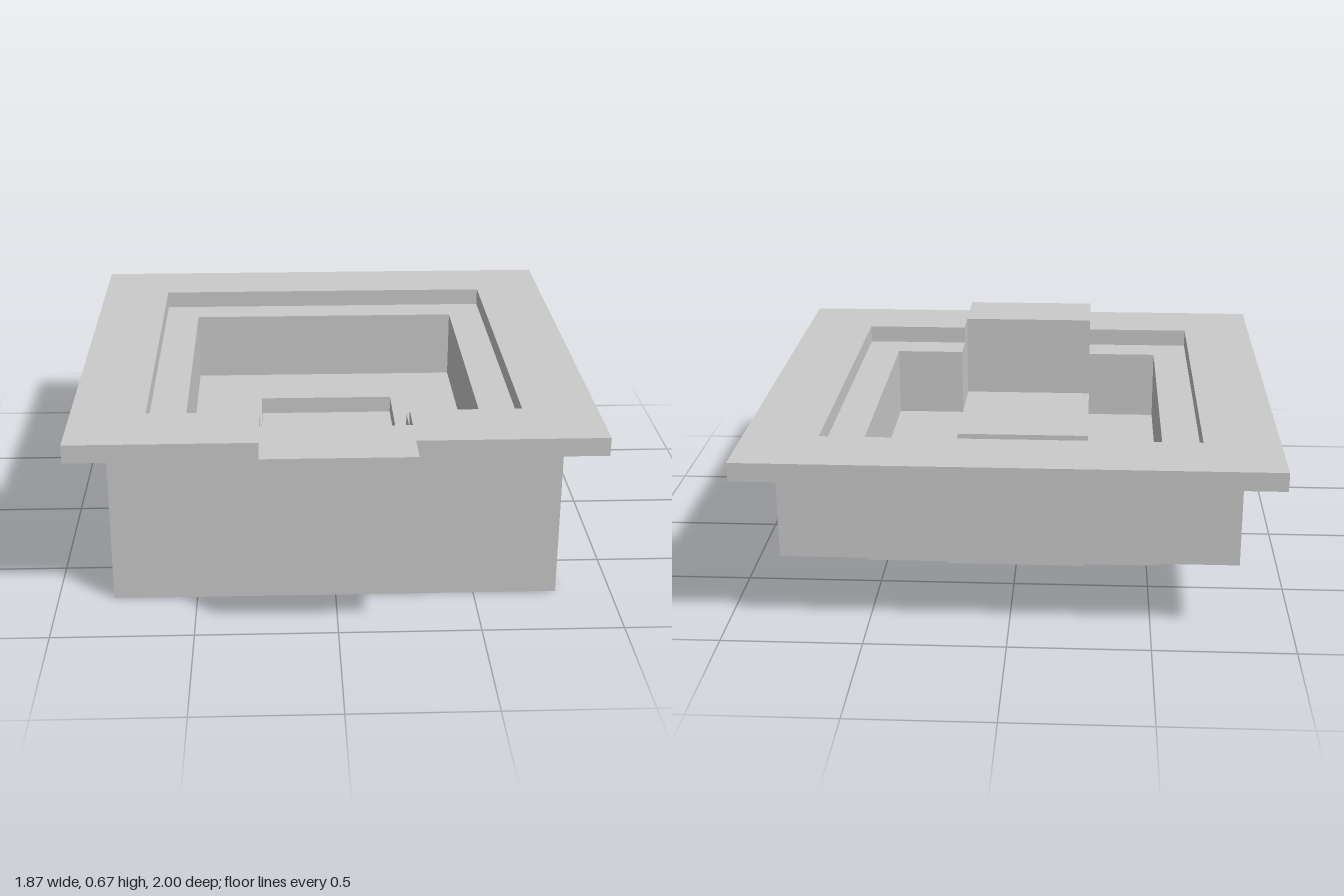
import * as THREE from 'three';

const U = 1 / 15; // grid module: the model is 30 modules long
const GAP = 4;    // half width of the front channel

export function createModel() {
  const group = new THREE.Group();
  const material = new THREE.MeshStandardMaterial({ color: 0xcccccc, flatShading: true });

  const toPoints = (list) => list.map(([x, z]) => new THREE.Vector2(x * U, -z * U));
  const rect = (hw, back, front) => [[-hw, front], [hw, front], [hw, back], [-hw, back]];

  // Horizontal slab from a plan outline (x, z) between two heights
  function slab(name, outline, y0, y1, hole) {
    const shape = new THREE.Shape(toPoints(outline));
    if (hole) shape.holes.push(new THREE.Path(toPoints(hole)));
    const geometry = new THREE.ExtrudeGeometry(shape, { depth: (y1 - y0) * U, bevelEnabled: false });
    geometry.rotateX(-Math.PI / 2);
    geometry.translate(0, y0 * U, 0);
    const mesh = new THREE.Mesh(geometry, material);
    mesh.name = name;
    group.add(mesh);
  }

  // Rectangular frame interrupted at the front by the channel
  function openFrame([hw, back, front], [ihw, iback, ifront]) {
    const right = [[hw, back], [hw, front], [GAP, front], [GAP, ifront], [ihw, ifront], [ihw, iback]];
    const left = right.map(([x, z]) => [-x, z]).reverse();
    return [...right, ...left];
  }

  // Flange around the top, and the thick basin wall with its inner ledge
  slab('rim', openFrame([14, -15, 13], [10, -11, 9]), 9, 10);
  slab('basinWall', openFrame([12, -13, 11], [8, -9, 7]), 5, 9);

  // Block closing the channel at the front
  slab('frontBlock', rect(GAP, 11, 15), 4, 10);

  // Floor with the square recess
  slab('basinFloor', rect(12, -13, 11), 4, 5, rect(4, -5, 3));

  // Stepped underside and the front skirt
  slab('middleStep', rect(8, -9, 7), 2, 4);
  slab('lowerStep', rect(4, -5, 7), 0, 2);
  slab('frontSkirt', rect(12, 7, 11), 0, 4);

  return group;
}
